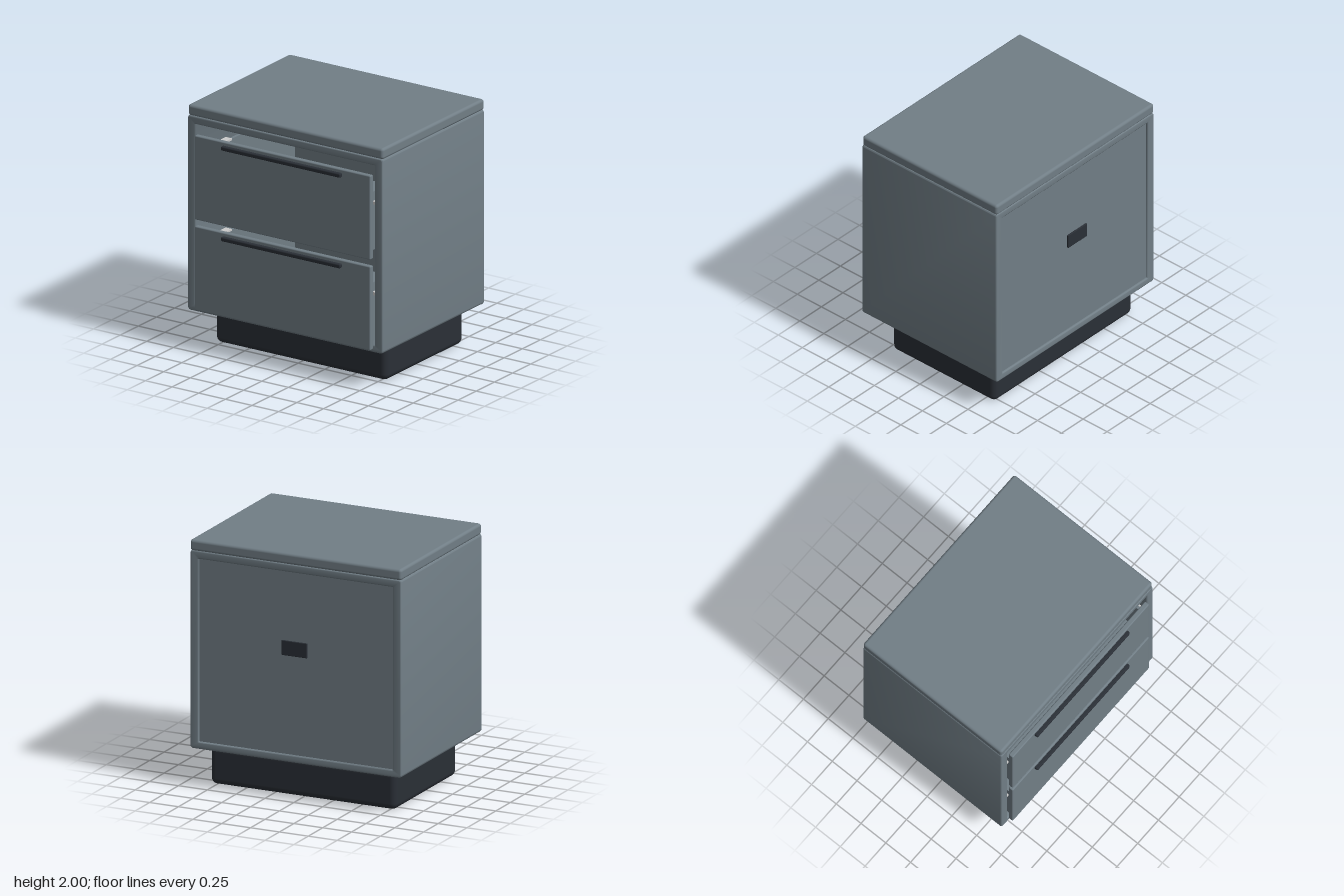
import * as THREE from 'three';
import { RoundedBoxGeometry } from 'three/addons/geometries/RoundedBoxGeometry.js';
import { toCreasedNormals } from 'three/addons/utils/BufferGeometryUtils.js';

const paint = new THREE.MeshStandardMaterial({ color: 0x717e86 });
const dark = new THREE.MeshStandardMaterial({ color: 0x2a2f36 });
const metal = new THREE.MeshStandardMaterial({ color: 0xcccccc });

// Box given by its limits on each axis; r rounds the edges
function block(parent, name, material, [x0, x1], [y0, y1], [z0, z1], r = 0) {
  const size = [x1 - x0, y1 - y0, z1 - z0];
  const geometry = r ? new RoundedBoxGeometry(...size, 4, r) : new THREE.BoxGeometry(...size);
  const mesh = new THREE.Mesh(geometry, material);
  mesh.position.set((x0 + x1) / 2, (y0 + y1) / 2, (z0 + z1) / 2);
  mesh.name = name;
  parent.add(mesh);
  return mesh;
}

// Rectangle with rounded corners
function roundedRect(path, x0, y0, x1, y1, r) {
  path.absarc(x1 - r, y0 + r, r, -Math.PI / 2, 0);
  path.absarc(x1 - r, y1 - r, r, 0, Math.PI / 2);
  path.absarc(x0 + r, y1 - r, r, Math.PI / 2, Math.PI);
  path.absarc(x0 + r, y0 + r, r, Math.PI, Math.PI * 1.5);
  path.closePath();
  return path;
}

// Open tube-like carcass with softened front and back rims
function carcass() {
  const b = 0.012;
  const shape = roundedRect(new THREE.Shape(), -0.915 + b, 0.31 + b, 0.915 - b, 1.915 - b, 0.012);
  shape.holes.push(roundedRect(new THREE.Path(), -0.84 - b, 0.37 - b, 0.84 + b, 1.85 + b, 0.015));
  const geometry = new THREE.ExtrudeGeometry(shape, {
    depth: 1.4 - 2 * b, bevelEnabled: true, bevelSize: b, bevelThickness: b, bevelSegments: 4, curveSegments: 4,
  });
  geometry.translate(0, 0, -0.72 + b);
  const mesh = new THREE.Mesh(toCreasedNormals(geometry, 0.6), paint);
  mesh.name = 'carcass';
  return mesh;
}

// Drawer with its front, handle, inner tray and slides; y is the bottom of the front
function drawer(name, y) {
  const group = new THREE.Group();
  group.name = name;
  block(group, 'drawerFront', paint, [-0.825, 0.825], [y, y + 0.693], [0.675, 0.718], 0.01);
  block(group, 'handle', dark, [-0.56, 0.56], [y + 0.63, y + 0.665], [0.712, 0.747], 0.01);
  block(group, 'trayBottom', paint, [-0.78, 0.78], [y + 0.06, y + 0.085], [-0.6, 0.68]);
  block(group, 'trayBack', paint, [-0.78, 0.78], [y + 0.06, y + 0.54], [-0.625, -0.6]);
  for (const s of [-1, 1]) {
    const span = (a, b) => [Math.min(s * a, s * b), Math.max(s * a, s * b)];
    block(group, 'traySide', paint, span(0.78, 0.805), [y + 0.06, y + 0.54], [-0.625, 0.68]);
    block(group, 'slide', metal, span(0.8, 0.84), [y + 0.44, y + 0.465], [-0.6, 0.66]);
    block(group, 'slideClip', metal, span(0.77, 0.83), [y + 0.535, y + 0.55], [0.28, 0.38]);
  }
  return group;
}

export function createModel() {
  const model = new THREE.Group();
  model.name = 'nightstand';

  // Cabinet
  model.add(carcass());
  block(model, 'top', paint, [-0.915, 0.915], [1.91, 2], [-0.722, 0.678], 0.022);
  block(model, 'backPanel', paint, [-0.85, 0.85], [0.36, 1.86], [-0.705, -0.675]);
  block(model, 'plinth', dark, [-0.805, 0.805], [0, 0.312], [-0.6, 0.47], 0.05);

  // Drawers
  model.add(drawer('lowerDrawer', 0.333));
  model.add(drawer('upperDrawer', 1.08));

  // Small cover plate standing off the back
  block(model, 'cableCover', dark, [-0.11, 0.11], [1.18, 1.3], [-0.747, -0.732], 0.005);
  return model;
}
